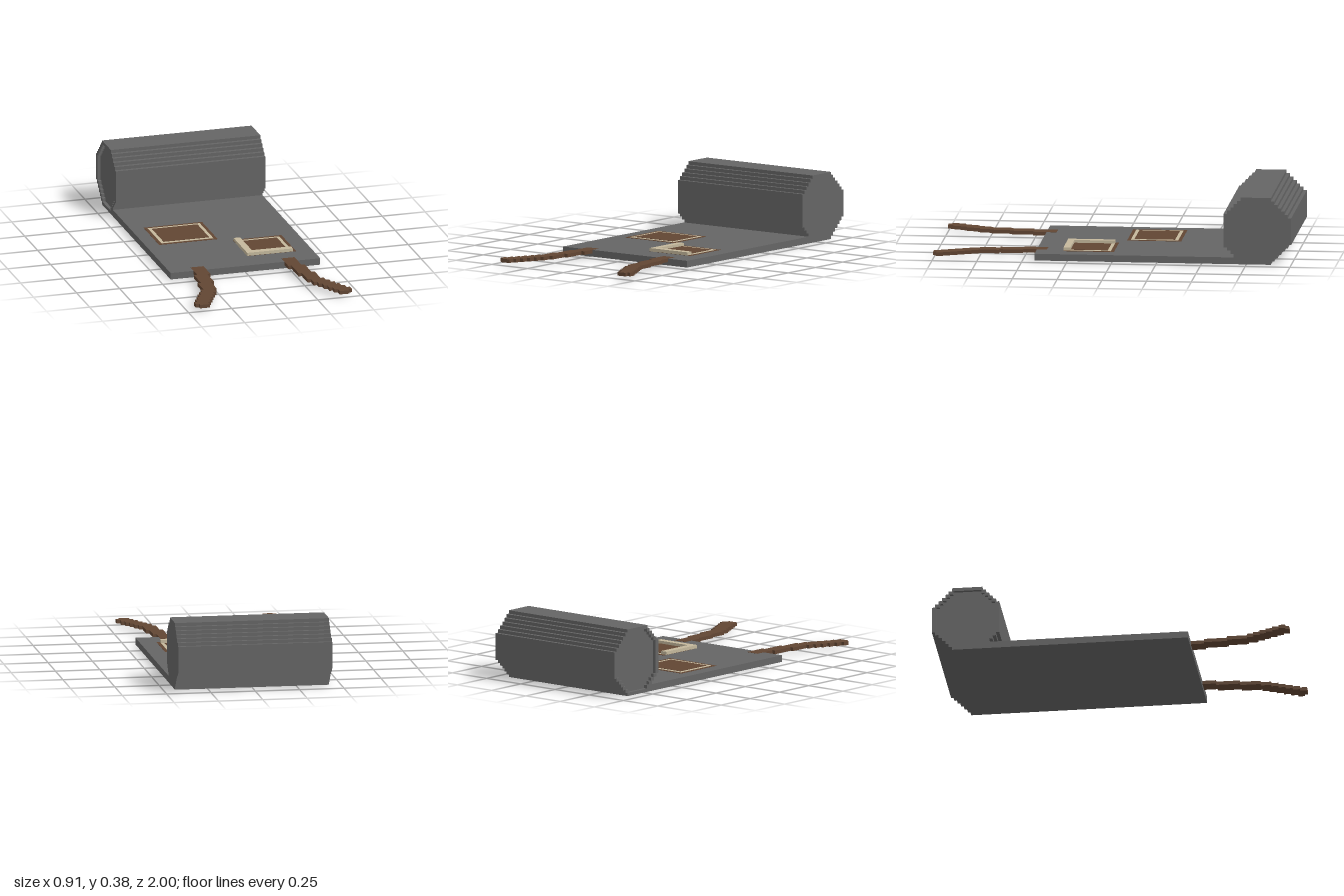
import * as THREE from 'three';

const U = 1 / 53; // one block; all part sizes below are in blocks

const grey = new THREE.MeshStandardMaterial({ color: 0x656565 });
grey.name = 'grey fabric';
const brown = new THREE.MeshStandardMaterial({ color: 0x624633 });
brown.name = 'brown leather';
const cream = new THREE.MeshStandardMaterial({ color: 0xc4b89c });
cream.name = 'cream trim';

function add(group, name, geometry, material) {
  const mesh = new THREE.Mesh(geometry, material);
  mesh.name = name;
  group.add(mesh);
  return mesh;
}

// Box given by its bounds in blocks
function block(group, name, material, [x0, x1], [y0, y1], [z0, z1]) {
  const geometry = new THREE.BoxGeometry((x1 - x0) * U, (y1 - y0) * U, (z1 - z0) * U);
  geometry.translate((x0 + x1) / 2 * U, (y0 + y1) / 2 * U, (z0 + z1) / 2 * U);
  return add(group, name, geometry, material);
}

// Stepped octagon of the roll, in (-z, y), optionally inset
function rollOutline(first, last, inset) {
  const front = [], back = [];
  for (let i = first; i < last; i++) {
    const f = 33 + Math.max(0, i - 14, 5 - i) + inset;
    const b = 53 - Math.max(0, i - 13, 6 - i) - inset;
    front.push([f, i], [f, i + 1]);
    back.push([b, i], [b, i + 1]);
  }
  return [...back, ...front.reverse()].map(([u, y]) => new THREE.Vector2(u * U, y * U));
}

function rollSection(x0, x1, hole) {
  const shape = new THREE.Shape(rollOutline(0, 20, 0));
  if (hole) shape.holes.push(new THREE.Path(rollOutline(1, 19, 1.3)));
  const geometry = new THREE.ExtrudeGeometry(shape, { depth: (x1 - x0) * U, bevelEnabled: false });
  geometry.rotateY(Math.PI / 2);
  geometry.translate(x0 * U, 0, 0);
  return geometry;
}

// Curving strap outline: each edge is a staircase of [x, end z]
const innerEdge = [[12, 27], [13, 34], [14, 40], [15, 43], [16, 45], [17, 47], [18, 49], [19, 51], [20, 53]];
const outerEdge = [[16, 27], [17, 34], [18, 40], [19, 42], [20, 44], [21, 46], [22, 48], [23, 50], [24, 52], [23, 53]];

function strapGeometry(side) {
  const stairs = (edge) => {
    let z = 20;
    return edge.flatMap(([x, end]) => {
      const step = [[x, z], [x, end]];
      z = end;
      return step;
    });
  };
  const points = [...stairs(innerEdge), ...stairs(outerEdge).reverse()];
  const shape = new THREE.Shape(points.map(([x, z]) => new THREE.Vector2(side * x * U, -z * U)));
  const geometry = new THREE.ExtrudeGeometry(shape, { depth: 1.06 * U, bevelEnabled: false });
  geometry.rotateX(-Math.PI / 2);
  geometry.translate(0, U, 0);
  return geometry;
}

// Patch: nested thin plates, one block of border each
function patch(name, [x0, x1], [z0, z1]) {
  const group = new THREE.Group();
  group.name = name;
  const layers = [['patchBorder', brown], ['patchTrim', cream], ['patchCentre', brown]];
  layers.forEach(([part, material], i) => {
    block(group, part, material, [x0 + i, x1 - i], [1.9, 2.06 + i * 0.06], [z0 + i, z1 - i]);
  });
  return group;
}

export function createModel() {
  const model = new THREE.Group();
  model.name = 'bedroll';

  // Flat mat and the rolled end
  block(model, 'mat', grey, [-23, 23], [0, 2], [-38, 23]);
  const roll = new THREE.Group();
  roll.name = 'roll';
  add(roll, 'rollBody', rollSection(-22, 23, false), grey);
  add(roll, 'rollRim', rollSection(-23, -22, true), grey);
  model.add(roll);

  // Patches, the second with a raised corner trim
  model.add(patch('rearPatch', [-19, -1], [-18, -2]));
  const frontPatch = patch('frontPatch', [3, 18], [0, 15]);
  block(frontPatch, 'raisedSideTrim', cream, [3, 5], [2, 3], [1, 15]);
  block(frontPatch, 'raisedFrontTrim', cream, [5, 17], [2, 3], [13, 15]);
  model.add(frontPatch);

  // Tie straps
  add(model, 'leftStrap', strapGeometry(1), brown);
  add(model, 'rightStrap', strapGeometry(-1), brown);
  return model;
}
